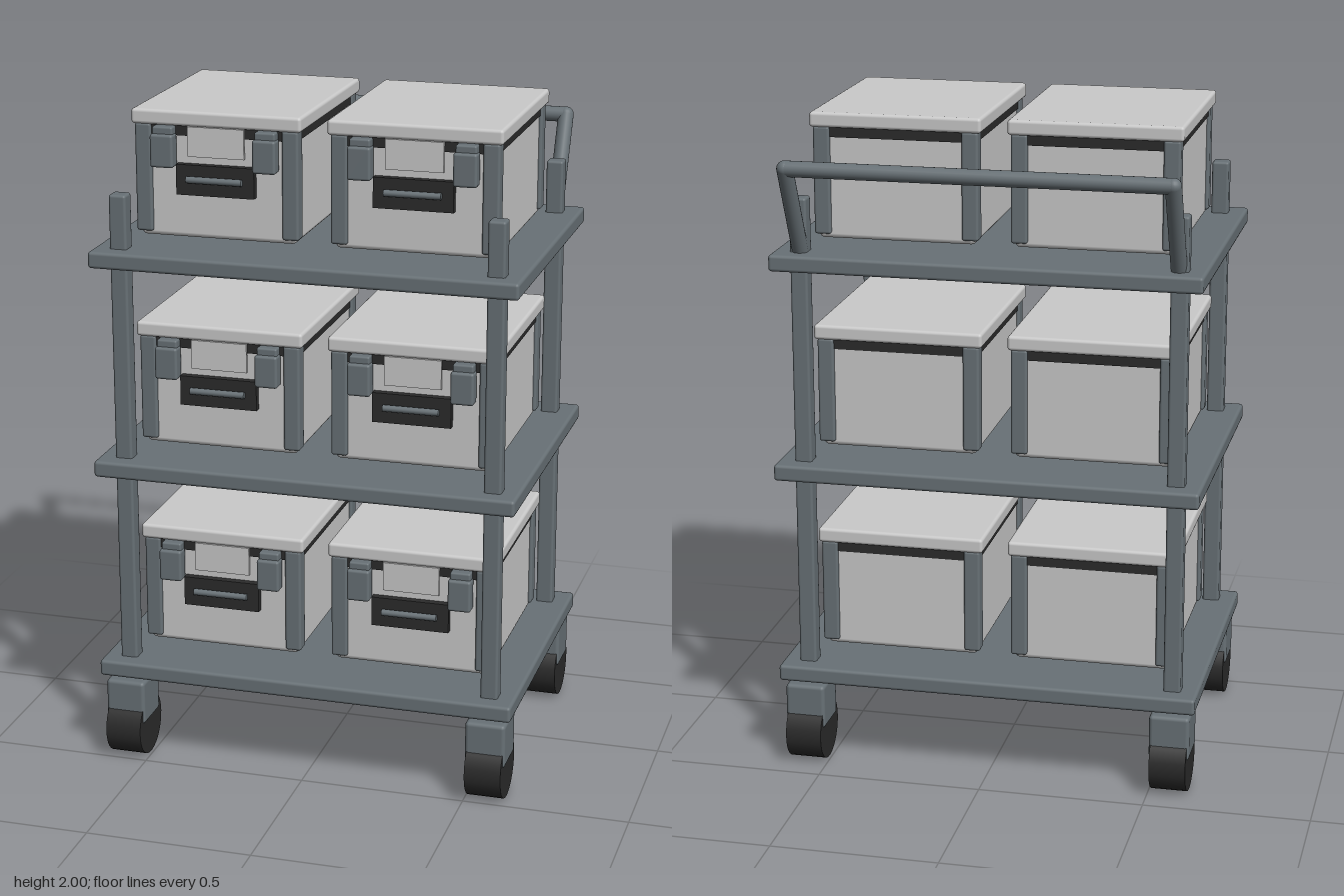
import * as THREE from 'three';
import { RoundedBoxGeometry } from 'three/addons/geometries/RoundedBoxGeometry.js';

const material = (name, color) => {
  const m = new THREE.MeshStandardMaterial({ color });
  m.name = name;
  return m;
};

export function createModel() {
  const frameGrey = material('frame grey', 0x687176);
  const lightGrey = material('light grey', 0xcacaca);
  const black = material('charcoal black', 0x2b2b2b);

  const add = (parent, name, geometry, mat, x = 0, y = 0, z = 0) => {
    const mesh = new THREE.Mesh(geometry, mat);
    mesh.name = name;
    mesh.position.set(x, y, z);
    parent.add(mesh);
    return mesh;
  };
  const rounded = (w, h, d, r = 0.008) => new RoundedBoxGeometry(w, h, d, 2, r);

  // Round bar between two points
  const bar = (parent, name, a, b, radius, mat) => {
    const dir = new THREE.Vector3().subVectors(b, a);
    const mesh = add(parent, name, new THREE.CylinderGeometry(radius, radius, dir.length(), 20), mat);
    mesh.position.copy(a).add(b).multiplyScalar(0.5);
    mesh.quaternion.setFromUnitVectors(new THREE.Vector3(0, 1, 0), dir.normalize());
  };

  const cart = new THREE.Group();
  cart.name = 'storageCart';
  const midZ = 0.035;
  const shelfTops = [0.32, 0.962, 1.604];

  // Shelves
  for (const top of shelfTops) {
    add(cart, 'shelf', rounded(1.28, 0.05, 0.94, 0.01), frameGrey, 0, top - 0.025, midZ);
  }

  // Corner posts and casters
  for (const x of [-0.563, 0.563]) {
    for (const z of [0.428, -0.355]) {
      add(cart, 'post', rounded(0.052, 1.525, 0.052), frameGrey, x, 1.0025, z);
      const caster = new THREE.Group();
      caster.name = 'caster';
      caster.position.set(x, 0, z);
      add(caster, 'casterHousing', rounded(0.122, 0.138, 0.138, 0.012), frameGrey, 0, 0.186, 0);
      const wheel = new THREE.CylinderGeometry(0.095, 0.095, 0.11, 28).rotateZ(Math.PI / 2);
      add(caster, 'wheel', wheel, black, 0, 0.095, 0);
      cart.add(caster);
    }
  }

  // Push handle at the back
  const handle = new THREE.Group();
  handle.name = 'pushHandle';
  const topPoint = s => new THREE.Vector3(s * 0.56, 1.876, -0.499);
  for (const s of [-1, 1]) {
    bar(handle, 'handleArm', new THREE.Vector3(s * 0.56, 1.595, -0.362), topPoint(s), 0.024, frameGrey);
    add(handle, 'handleJoint', new THREE.SphereGeometry(0.024, 20, 14), frameGrey, ...topPoint(s).toArray());
  }
  bar(handle, 'handleGrip', topPoint(-1), topPoint(1), 0.0235, frameGrey);
  cart.add(handle);

  // One storage bin, with its base at y = 0
  const createBin = () => {
    const bin = new THREE.Group();
    bin.name = 'storageBin';
    add(bin, 'binBody', rounded(0.475, 0.33, 0.595, 0.015), lightGrey, 0, 0.165, 0);
    add(bin, 'rim', new THREE.BoxGeometry(0.483, 0.03, 0.603), black, 0, 0.319, 0);
    add(bin, 'lid', rounded(0.515, 0.045, 0.625, 0.01), lightGrey, 0, 0.3555, 0);

    // Corner pillars
    for (const x of [-1, 1]) {
      for (const z of [-1, 1]) {
        add(bin, 'cornerPillar', rounded(0.05, 0.322, 0.05), frameGrey, x * 0.223, 0.175, z * 0.284);
      }
    }

    // Lid latches
    for (const x of [-0.155, 0.155]) {
      add(bin, 'latchHinge', rounded(0.062, 0.05, 0.04, 0.006), frameGrey, x, 0.308, 0.313);
      add(bin, 'latch', rounded(0.07, 0.098, 0.045, 0.008), frameGrey, x, 0.263, 0.323);
    }

    // Front label and recessed pull
    add(bin, 'label', new THREE.BoxGeometry(0.172, 0.088, 0.009), lightGrey, 0, 0.289, 0.3065);
    add(bin, 'pullPlate', new THREE.BoxGeometry(0.237, 0.09, 0.025), black, 0, 0.178, 0.308);
    const pull = new THREE.CylinderGeometry(0.01, 0.01, 0.168, 14).rotateZ(Math.PI / 2);
    add(bin, 'pullBar', pull, frameGrey, 0, 0.181, 0.329);
    for (const x of [-0.078, 0.078]) {
      add(bin, 'pullMount', new THREE.BoxGeometry(0.01, 0.012, 0.02), frameGrey, x, 0.181, 0.322);
    }
    return bin;
  };

  // Two bins on every shelf
  for (const top of shelfTops) {
    for (const x of [-0.296, 0.296]) {
      const bin = createBin();
      bin.position.set(x, top + 0.018, midZ);
      cart.add(bin);
    }
  }

  return cart;
}
